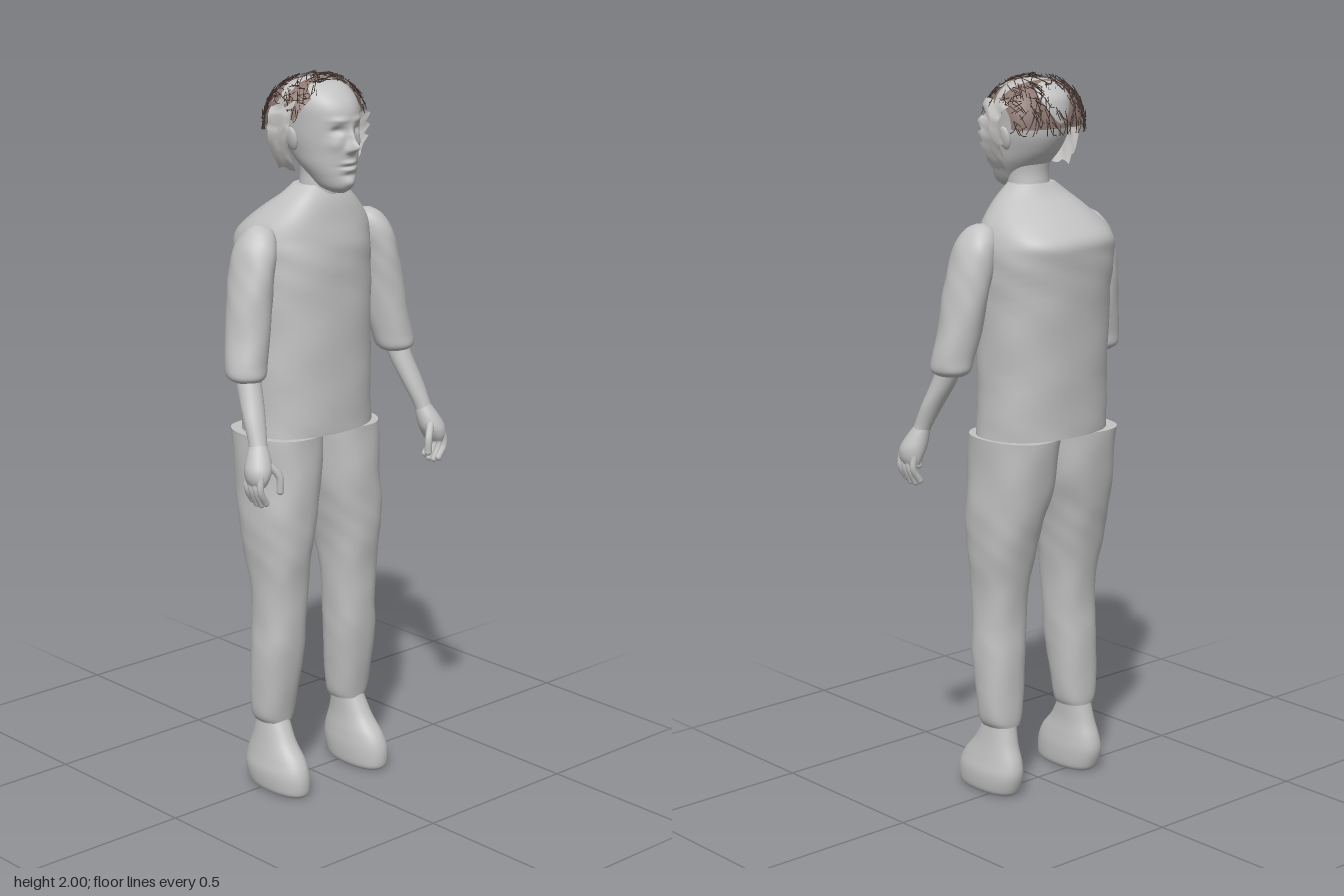
import * as THREE from 'three';
import { mergeGeometries } from 'three/addons/utils/BufferGeometryUtils.js';

const bodyGrey = new THREE.MeshStandardMaterial({ color: 0xc2c2c2 });
const sheetGrey = new THREE.MeshStandardMaterial({ color: 0xc4c2c0, side: THREE.DoubleSide });
const hairBrown = new THREE.MeshStandardMaterial({ color: 0x8a7670, side: THREE.DoubleSide });
const strandBrown = new THREE.MeshStandardMaterial({ color: 0x45352f, side: THREE.DoubleSide });

let seed = 7;
const rand = () => (seed = (seed * 16807) % 2147483647) / 2147483647;
const spow = (v, p) => Math.sign(v) * Math.pow(Math.abs(v), p);

// Catmull-Rom blend of one column of the section table
function blend(rows, t, k) {
  const n = rows.length - 1, i = Math.min(Math.floor(t), n - 1), f = t - i;
  const v = (j) => rows[Math.max(0, Math.min(n, j))][k];
  const a = v(i - 1), b = v(i), c = v(i + 1), d = v(i + 2);
  return b + 0.5 * f * (c - a + f * (2 * a - 5 * b + 4 * c - d + f * (3 * (b - c) + d - a)));
}

// Loft through horizontal sections [y, xMin, xMax, zBack, zFront], bottom to top
function loft(rows, { segs = 40, steps = 6, power = 1, wrinkle = 0, sculpt = null } = {}) {
  const pos = [], idx = [], count = (rows.length - 1) * steps;
  for (let i = 0; i <= count; i++) {
    const [y, x0, x1, z0, z1] = [0, 1, 2, 3, 4].map((k) => blend(rows, i / steps, k));
    for (let j = 0; j < segs; j++) {
      const a = (j / segs) * Math.PI * 2;
      const w = 1 + wrinkle * (Math.sin(y * 31 + 3 * a) + Math.sin(y * 53 - 5 * a + 2 * Math.sin(y * 17)));
      const p = new THREE.Vector3(
        (x0 + x1) / 2 + ((x1 - x0) / 2) * w * spow(Math.cos(a), power), y,
        (z0 + z1) / 2 + ((z1 - z0) / 2) * w * spow(Math.sin(a), power));
      if (sculpt) sculpt(p, Math.sin(a));
      pos.push(p.x, p.y, p.z);
      if (i < count) {
        const n = (j + 1) % segs, q = i * segs;
        idx.push(q + j, q + segs + j, q + n, q + n, q + segs + j, q + segs + n);
      }
    }
  }
  // Flat end caps with their own vertices
  for (const [row, r, up] of [[0, rows[0], false], [count, rows[rows.length - 1], true]]) {
    const base = pos.length / 3;
    for (let j = 0; j < segs * 3; j++) pos.push(pos[row * segs * 3 + j]);
    pos.push((r[1] + r[2]) / 2, r[0], (r[3] + r[4]) / 2);
    for (let j = 0; j < segs; j++) {
      const a = base + j, b = base + ((j + 1) % segs), c = base + segs;
      idx.push(c, up ? b : a, up ? a : b);
    }
  }
  const g = new THREE.BufferGeometry();
  g.setAttribute('position', new THREE.Float32BufferAttribute(pos, 3));
  g.setIndex(idx);
  g.computeVertexNormals();
  return g;
}

const mirrored = (rows, s) => (s > 0 ? rows : rows.map(([y, a, b, c, d]) => [y, -b, -a, c, d]));

// Section tables, limbs given for the +x side
const TORSO = [[1.03, -0.19, 0.198, -0.157, 0.122], [1.2, -0.186, 0.194, -0.165, 0.122],
  [1.4, -0.184, 0.196, -0.18, 0.122], [1.52, -0.186, 0.2, -0.194, 0.12], [1.57, -0.18, 0.196, -0.194, 0.115],
  [1.61, -0.162, 0.178, -0.155, 0.108], [1.65, -0.13, 0.142, -0.1, 0.1], [1.68, -0.1, 0.108, -0.055, 0.09],
  [1.71, -0.062, 0.074, -0.03, 0.075]];
const LEG = [[0.2, 0.092, 0.188, -0.052, 0.052], [0.24, 0.08, 0.203, -0.055, 0.058], [0.4, 0.065, 0.208, -0.056, 0.084],
  [0.5, 0.06, 0.203, -0.055, 0.09], [0.6, 0.055, 0.204, -0.066, 0.096], [0.7, 0.045, 0.213, -0.09, 0.108],
  [0.8, 0.028, 0.217, -0.114, 0.116], [0.9, 0.008, 0.212, -0.138, 0.117], [1.03, 0, 0.21, -0.156, 0.116]];
const FOOT = [[0, 0.105, 0.19, -0.055, 0.135], [0.015, 0.096, 0.204, -0.07, 0.146], [0.06, 0.094, 0.208, -0.084, 0.145],
  [0.1, 0.098, 0.2, -0.08, 0.128], [0.15, 0.104, 0.19, -0.062, 0.085], [0.22, 0.104, 0.18, -0.045, 0.045]];
const SLEEVE = [[1.21, 0.235, 0.308, 0.01, 0.09], [1.225, 0.222, 0.326, -0.01, 0.105], [1.26, 0.212, 0.326, -0.016, 0.102],
  [1.33, 0.196, 0.312, -0.03, 0.096], [1.42, 0.185, 0.298, -0.042, 0.094], [1.5, 0.172, 0.28, -0.05, 0.09],
  [1.56, 0.16, 0.262, -0.046, 0.08], [1.6, 0.162, 0.234, -0.025, 0.055], [1.615, 0.185, 0.21, 0, 0.025]];
const FOREARM = [[1.03, 0.285, 0.338, 0.115, 0.165], [1.06, 0.28, 0.33, 0.105, 0.155], [1.12, 0.262, 0.325, 0.075, 0.132],
  [1.18, 0.248, 0.314, 0.04, 0.108], [1.24, 0.24, 0.305, 0.01, 0.085]];
const PALM = [[0.955, 0.312, 0.35, 0.122, 0.185], [0.975, 0.298, 0.358, 0.116, 0.192], [1.0, 0.286, 0.358, 0.112, 0.19],
  [1.03, 0.282, 0.345, 0.11, 0.175], [1.06, 0.284, 0.328, 0.108, 0.155]];
const NECK = [[1.66, -0.055, 0.067, -0.03, 0.085], [1.71, -0.05, 0.062, -0.025, 0.09],
  [1.75, -0.048, 0.06, -0.025, 0.085], [1.82, -0.055, 0.067, -0.04, 0.08]];
const HEAD = [[0.125, 1.692, 0.015, 0.08], [0.145, 1.708, 0.042, 0.035], [0.15, 1.74, 0.06, 0.0], [0.15, 1.77, 0.073, -0.035],
  [0.152, 1.8, 0.08, -0.065], [0.152, 1.84, 0.088, -0.09], [0.153, 1.88, 0.091, -0.1], [0.146, 1.92, 0.093, -0.1],
  [0.125, 1.95, 0.087, -0.09], [0.092, 1.975, 0.067, -0.06], [0.05, 1.988, 0.02, -0.02]]
  .map(([front, y, w, back]) => [y, 0.008 - w, 0.008 + w, back, front]);

// Facial relief: [x, y, width, height, depth], mirrored about the face centre
const RELIEF = [[0, 1.818, 0.011, 0.014, 0.032], [0, 1.842, 0.008, 0.02, 0.014], [0.012, 1.81, 0.007, 0.008, 0.008],
  [0.034, 1.862, 0.017, 0.011, -0.013], [0.032, 1.889, 0.024, 0.007, 0.005], [0.045, 1.825, 0.018, 0.016, 0.005],
  [0, 1.776, 0.022, 0.006, 0.008], [0, 1.757, 0.02, 0.006, 0.007], [0, 1.766, 0.026, 0.0035, -0.005],
  [0, 1.722, 0.02, 0.013, 0.008], [0, 1.742, 0.025, 0.006, -0.004]];
function sculptFace(p, facing) {
  if (facing < 0.2) return;
  const ax = Math.abs(p.x - 0.008), y = p.y;
  for (const [x, cy, w, h, d] of RELIEF)
    p.z += d * Math.exp(-(((ax - x) / w) ** 2) - ((y - cy) / h) ** 2);
}

// Point on the rounded scalp: sweep runs front to back over the top, side runs across
function scalp(sweep, side, lift = 0) {
  const c = Math.pow(Math.cos(side), 0.65), s = spow(Math.sin(side), 0.9);
  return new THREE.Vector3(0.01 + (0.132 + lift) * s, 1.868 + (0.126 + lift) * c * Math.sin(sweep),
    0.008 + (0.108 + lift) * c * Math.cos(sweep));
}
function sheet(fn, nu, nv) {
  const g = new THREE.PlaneGeometry(1, 1, nu, nv), p = g.attributes.position;
  for (let i = 0; i < p.count; i++) {
    const v = fn(p.getX(i) * 2, p.getY(i) + 0.5);
    p.setXYZ(i, v.x, v.y, v.z);
  }
  g.computeVertexNormals();
  return g;
}
const rad = THREE.MathUtils.degToRad;
const frontSweep = (u, v) => rad(THREE.MathUtils.lerp(50 - 32 * u * u, 80 - 8 * u * u, v));
const backSweep = (u, v) => rad(THREE.MathUtils.lerp(108 - 20 * u * u, 182, v));

// Thin crossing strands laid over a hair patch
function strands(sweepFn, count) {
  const list = [];
  for (let i = 0; i < count; i++) {
    const u = rand() * 1.9 - 0.95, v = rand(), du = (rand() - 0.5) * 0.4, dv = (rand() - 0.5) * 0.9;
    const at = (k) => scalp(sweepFn(THREE.MathUtils.clamp(u + du * k, -1, 1),
      THREE.MathUtils.clamp(v + dv * k, -0.12, 1.1)), THREE.MathUtils.clamp(u + du * k, -1, 1) * 1.25, 0.005 + 0.006 * k * rand());
    const curve = new THREE.CatmullRomCurve3([at(0), at(0.5), at(1)]);
    list.push(new THREE.TubeGeometry(curve, 4, 0.0013, 3));
  }
  return mergeGeometries(list);
}

export function createModel() {
  const model = new THREE.Group();
  const add = (name, geo, mat = bodyGrey) => {
    const m = new THREE.Mesh(geo, mat);
    m.name = name;
    model.add(m);
    return m;
  };
  const tube = (pts, r) => {
    const path = pts.map((p) => new THREE.Vector3(...p));
    const end = new THREE.SphereGeometry(r, 10, 8).translate(...pts[pts.length - 1]);
    return mergeGeometries([new THREE.TubeGeometry(new THREE.CatmullRomCurve3(path), 10, r, 10), end]);
  };

  add('shirt', loft(TORSO, { segs: 64, power: 0.86, wrinkle: 0.006 }));
  add('neck', loft(NECK));
  add('head', loft(HEAD, { segs: 160, steps: 10, sculpt: sculptFace }));

  for (const s of [1, -1]) {
    const side = s > 0 ? 'left' : 'right';
    add(side + 'TrouserLeg', loft(mirrored(LEG, s), { power: 0.85, wrinkle: 0.008 }));
    add(side + 'Shoe', loft(mirrored(FOOT, s), { power: 0.9 }));
    add(side + 'Sleeve', loft(mirrored(SLEEVE, s), { wrinkle: 0.012 }));
    add(side + 'Forearm', loft(mirrored(FOREARM, s), { segs: 24 }));
    add(side + 'Palm', loft(mirrored(PALM, s), { segs: 24 }));
    // Curled fingers and thumb
    const fingers = [0, 1, 2, 3].map((i) => {
      const z = 0.127 + i * 0.018, tip = 0.91 - [0, 0.008, 0.008, 0][i];
      return tube([[s * 0.338, 0.985, z], [s * 0.342, 0.945, z + 0.002], [s * 0.322, tip, z]], 0.0095);
    });
    add(side + 'Fingers', mergeGeometries(fingers));
    add(side + 'Thumb', tube([[s * 0.3, 1.01, 0.17], [s * 0.278, 0.975, 0.186], [s * 0.276, 0.935, 0.186]], 0.0105));
    // Eye and ear
    add(side + 'Eye', new THREE.SphereGeometry(0.011, 16, 12)).position.set(0.008 + s * 0.034, 1.862, 0.119);
    const ear = add(side + 'Ear', new THREE.SphereGeometry(1, 16, 12));
    ear.scale.set(0.009, 0.032, 0.02);
    ear.position.set(0.008 + s * 0.093, 1.835, 0.022);
    ear.rotation.z = -s * 0.2;
    // Ragged hair sheet hanging beside the ear
    add(side + 'SideHairSheet', sheet((u, v) => {
      const ragged = (rand() - 0.5) * 0.014;
      return new THREE.Vector3(0.01 + s * (0.09 + 0.055 * Math.sin(Math.PI * (0.12 + 0.7 * v)) + ragged),
        1.755 + 0.185 * v + ragged, 0.02 + 0.045 * u * (0.75 + 0.25 * v) + ragged);
    }, 5, 12), sheetGrey);
  }

  // Bare band over the crown, then front and back hair with strands
  add('crownBand', sheet((u, v) => scalp(rad(72 + v * 40 - 16 * u * u), u * 1.3, -0.004), 24, 6), sheetGrey);
  add('frontHair', sheet((u, v) => scalp(frontSweep(u, v), u * 1.25), 28, 8), hairBrown);
  add('backHair', sheet((u, v) => scalp(backSweep(u, v), u * 1.25), 28, 10), hairBrown);
  add('frontStrands', strands(frontSweep, 150), strandBrown);
  add('backStrands', strands(backSweep, 190), strandBrown);
  return model;
}
